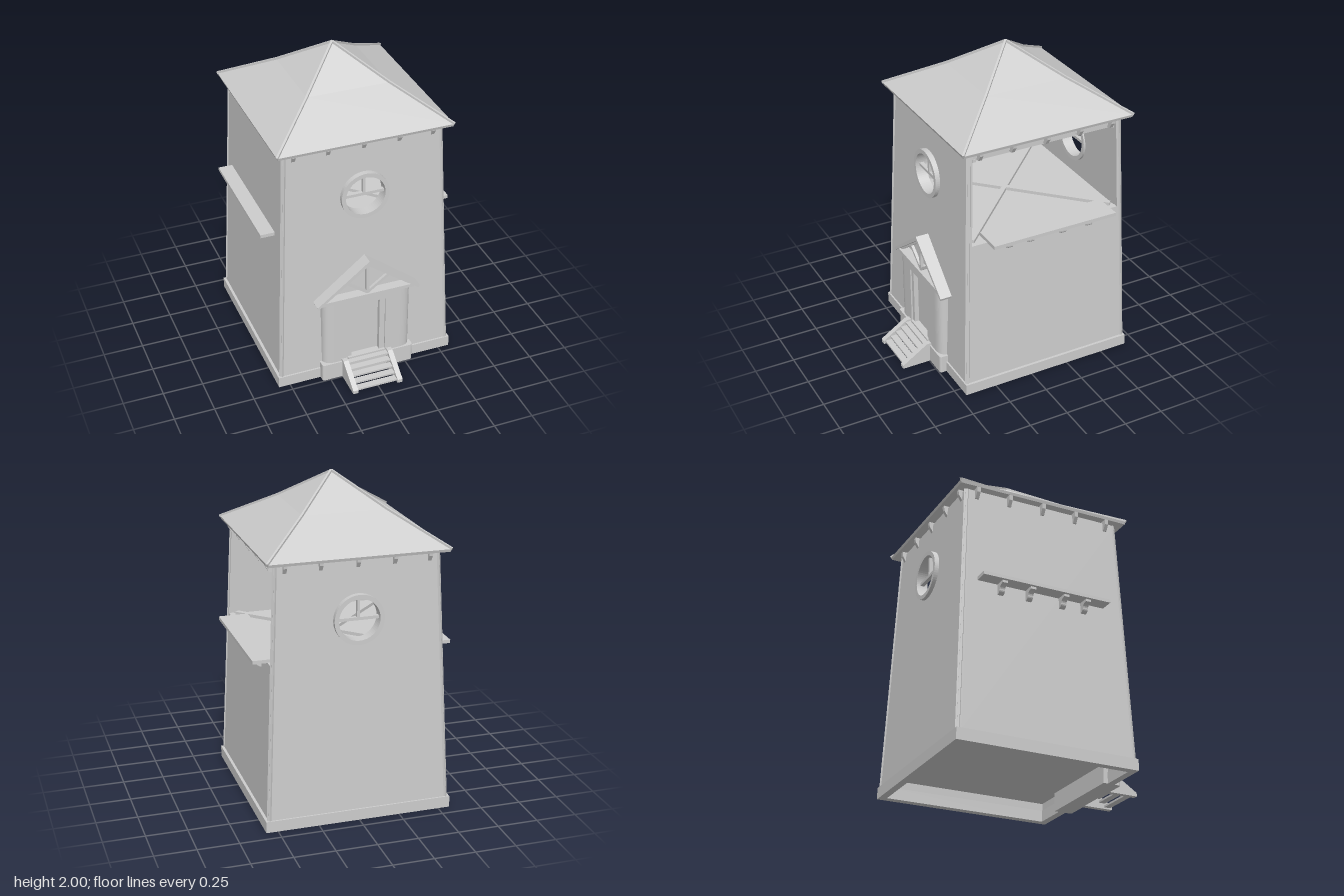
import * as THREE from 'three';

const stone = new THREE.MeshStandardMaterial({ color: 0xcccccc, side: THREE.DoubleSide });
stone.name = 'pale grey';

const TOWER_Z = -0.112;
// Half width and half depth of the tower at a height; the walls lean inwards
const halfX = (y) => 0.558 - 0.043 * y;
const halfZ = (y) => 0.557 - 0.036 * y;

function add(parent, name, geometry, x = 0, y = 0, z = 0) {
  const mesh = new THREE.Mesh(geometry, stone);
  mesh.name = name;
  mesh.position.set(x, y, z);
  parent.add(mesh);
  return mesh;
}

// Box given by its minimum and maximum corners
function block(parent, name, x0, x1, y0, y1, z0, z1) {
  return add(parent, name, new THREE.BoxGeometry(x1 - x0, y1 - y0, z1 - z0),
    (x0 + x1) / 2, (y0 + y1) / 2, (z0 + z1) / 2);
}

// Rectangular bar between two points of the parent's own space
function bar(parent, name, a, b, w, h = w) {
  const from = new THREE.Vector3(...a), to = new THREE.Vector3(...b);
  const mid = from.clone().add(to).multiplyScalar(0.5);
  const mesh = add(parent, name, new THREE.BoxGeometry(w, h, from.distanceTo(to)), mid.x, mid.y, mid.z);
  mesh.quaternion.setFromRotationMatrix(new THREE.Matrix4().lookAt(to, from, new THREE.Vector3(0, 1, 0)));
}

const polygon = (pts) => new THREE.Shape(pts.map(([x, y]) => new THREE.Vector2(x, y)));
const extrude = (shape, depth, curveSegments = 12) =>
  new THREE.ExtrudeGeometry(shape, { depth, bevelEnabled: false, curveSegments });
const circle = (r, y = 0) => new THREE.Path().absarc(0, y, r, 0, Math.PI * 2, true);

// Leaning wall panel facing +z, optionally with a round window hole
function wallGeometry(top, hasWindow, across, outward) {
  const a = across(0.03), b = across(top);
  const shape = polygon([[-a, 0.03], [a, 0.03], [b, top], [-b, top]]);
  if (hasWindow) shape.holes.push(circle(0.132, 1.245));
  const g = extrude(shape, 0.03, 32);
  const p = g.attributes.position;
  for (let i = 0; i < p.count; i++) p.setZ(i, p.getZ(i) - 0.03 + outward(p.getY(i)));
  g.computeVertexNormals();
  return g;
}

// Round window with a T-shaped glazing bar
function roundWindow() {
  const g = new THREE.Group();
  g.name = 'roundWindow';
  const ring = new THREE.Shape().absarc(0, 0, 0.15, 0, Math.PI * 2, false);
  ring.holes.push(circle(0.124));
  add(g, 'windowFrame', extrude(ring, 0.07, 32), 0, 1.245, 0.47);
  block(g, 'windowCrossbar', -0.126, 0.126, 1.236, 1.254, 0.49, 0.515);
  block(g, 'windowUpright', -0.008, 0.008, 1.25, 1.372, 0.49, 0.515);
  return g;
}

function buildTower() {
  const tower = new THREE.Group();
  tower.name = 'tower';
  tower.position.z = TOWER_Z;

  // Hollow plinth ring with a raised ground floor inside
  const ring = polygon([[-0.572, -0.565], [0.572, -0.565], [0.572, 0.565], [-0.572, 0.565]]);
  ring.holes.push(polygon([[-0.525, -0.52], [-0.525, 0.52], [0.525, 0.52], [0.525, -0.52]]));
  add(tower, 'plinth', extrude(ring, 0.07).rotateX(-Math.PI / 2));
  block(tower, 'groundFloor', -0.535, 0.535, 0.115, 0.13, -0.535, 0.535);
  block(tower, 'upperFloor', -0.5, 0.5, 0.98, 1.0, -0.5, 0.5);

  // Wedge-shaped rafter end, drawn outwards from the wall
  const rafter = polygon([[0.47, 1.545], [0.5, 1.545], [0.522, 1.58], [0.525, 1.612], [0.47, 1.612]]);

  // Four sides: front, open right, back, closed left
  const names = ['frontWall', 'openSideWall', 'backWall', 'closedSideWall'];
  names.forEach((name, i) => {
    const [across, outward] = i % 2 ? [halfZ, halfX] : [halfX, halfZ];
    const side = new THREE.Group();
    side.name = name + 'Group';
    side.rotation.y = i * Math.PI / 2;
    tower.add(side);
    add(side, name, wallGeometry(i === 1 ? 1.005 : 1.6, i % 2 === 0, across, outward));
    if (i % 2 === 0) side.add(roundWindow());
    // Rafter ends and top plate under the eaves
    for (const x of [-0.43, -0.22, 0, 0.22, 0.43])
      add(side, 'rafterEnd', extrude(rafter, 0.022).rotateY(-Math.PI / 2), x + 0.011, 0, 0);
    block(side, 'topPlate', -0.485, 0.485, 1.555, 1.605, 0.462, 0.484);
    block(side, 'tieBeam', -0.48, 0.48, 1.53, 1.55, 0.445, 0.465);
    // Corner post standing slightly proud of the walls
    bar(side, 'cornerPost', [across(0.07) - 0.009, 0.07, outward(0.07) - 0.009],
      [across(1.6) - 0.009, 1.6, outward(1.6) - 0.009], 0.024);
  });

  // Diagonal cross beams at the floor and the eaves
  for (const s of [-1, 1]) {
    bar(tower, 'floorBrace', [-0.47, 1.01, -0.47 * s], [0.47, 1.01, 0.47 * s], 0.03, 0.02);
    bar(tower, 'eavesBrace', [-0.46, 1.555, -0.46 * s], [0.46, 1.555, 0.46 * s], 0.03, 0.025);
  }

  // Side ledges on curved brackets
  for (const s of [-1, 1]) {
    block(tower, 'ledge', s < 0 ? -0.603 : 0.42, s < 0 ? -0.42 : 0.603, 1.003, 1.024, -0.428, 0.392);
    const bracket = new THREE.Shape();
    bracket.moveTo(s * 0.49, 1.005);
    bracket.lineTo(s * 0.585, 1.005);
    bracket.lineTo(s * 0.585, 0.988);
    bracket.quadraticCurveTo(s * 0.545, 0.985, s * 0.545, 0.955);
    bracket.quadraticCurveTo(s * 0.54, 0.935, s * 0.49, 0.932);
    for (const z of [0.255, 0.112, -0.105, -0.285])
      add(tower, 'ledgeBracket', extrude(bracket, 0.034, 6), 0, 0, z - 0.017);
  }

  // Slightly flared pyramid roof with hip bars
  const q = Math.SQRT2;
  const profile = [[0.001, 1.966], [0.255, 1.78], [0.537, 1.603], [0.542, 1.62], [0.255, 1.802], [0.001, 1.988]]
    .map(([r, y]) => new THREE.Vector2(r * q, y));
  const roof = new THREE.LatheGeometry(profile, 4, Math.PI / 4).toNonIndexed();
  roof.computeVertexNormals();
  add(tower, 'roof', roof).scale.z = 1.025;
  for (const sx of [-1, 1]) for (const sz of [-1, 1]) {
    const pt = (r, y) => [sx * r, y, sz * r * 1.025];
    bar(tower, 'hipBar', pt(0, 1.991), pt(0.255, 1.804), 0.013, 0.016);
    bar(tower, 'hipBar', pt(0.255, 1.804), pt(0.543, 1.621), 0.013, 0.016);
  }
  return tower;
}

function buildPorch() {
  const porch = new THREE.Group();
  porch.name = 'porch';

  // Jambs with rounded outer corners, each on a base block
  const jamb = (inner, outer, front, r) => {
    const s = Math.sign(outer), shape = new THREE.Shape();
    shape.moveTo(inner, -0.38);
    shape.lineTo(inner, -front);
    shape.lineTo(outer - s * r, -front);
    shape.quadraticCurveTo(outer, -front, outer, -front + r * 0.8);
    shape.lineTo(outer, -0.38);
    return shape;
  };
  for (const [inner, outer] of [[-0.13, -0.287], [0.115, 0.287]]) {
    add(porch, 'porchWall', extrude(jamb(inner, outer, 0.485, 0.075), 0.46).rotateX(-Math.PI / 2), 0, 0.11, 0);
    add(porch, 'porchBase', extrude(jamb(inner, outer * 1.045, 0.495, 0.02), 0.115).rotateX(-Math.PI / 2));
  }
  block(porch, 'lintel', -0.13, 0.115, 0.515, 0.57, 0.38, 0.485);
  block(porch, 'threshold', -0.13, 0.115, 0, 0.13, 0.38, 0.49);

  // Door and its frame
  block(porch, 'door', -0.11, 0.09, 0.13, 0.51, 0.425, 0.446);
  block(porch, 'doorPost', -0.13, -0.102, 0.13, 0.515, 0.43, 0.475);
  block(porch, 'doorPost', 0.08, 0.115, 0.13, 0.515, 0.43, 0.475);

  // Gable roof
  const gable = polygon([[-0.332, 0.568], [-0.325, 0.552], [0, 0.797], [0.325, 0.552], [0.332, 0.568], [0, 0.826]]);
  add(porch, 'gableRoof', extrude(gable, 0.119), 0, 0, 0.38);

  // Open truss in the gable
  block(porch, 'gableTie', -0.3, 0.3, 0.558, 0.58, 0.39, 0.487);
  bar(porch, 'kingPost', [0, 0.57, 0.465], [0, 0.8, 0.465], 0.02);
  for (const s of [-1, 1]) {
    bar(porch, 'gableStrut', [0, 0.585, 0.465], [s * 0.145, 0.69, 0.465], 0.018);
    bar(porch, 'gableRafter', [s * 0.3, 0.57, 0.465], [0, 0.793, 0.465], 0.02);
  }

  // Steps between sloping cheeks
  const cheek = polygon([[-0.48, 0], [-0.68, 0], [-0.68, 0.022], [-0.515, 0.13], [-0.48, 0.13]]);
  for (const x of [-0.172, 0.122])
    add(porch, 'stairCheek', extrude(cheek, 0.033).rotateY(Math.PI / 2), x, 0, 0);
  for (let i = 0; i < 5; i++) {
    const y = 0.022 + i * 0.024, z = 0.668 - i * 0.036;
    block(porch, 'tread', -0.142, 0.125, y - 0.012, y, z - 0.042, z);
  }
  return porch;
}

export function createModel() {
  const model = new THREE.Group();
  model.name = 'watchtower';
  model.add(buildTower(), buildPorch());
  return model;
}
